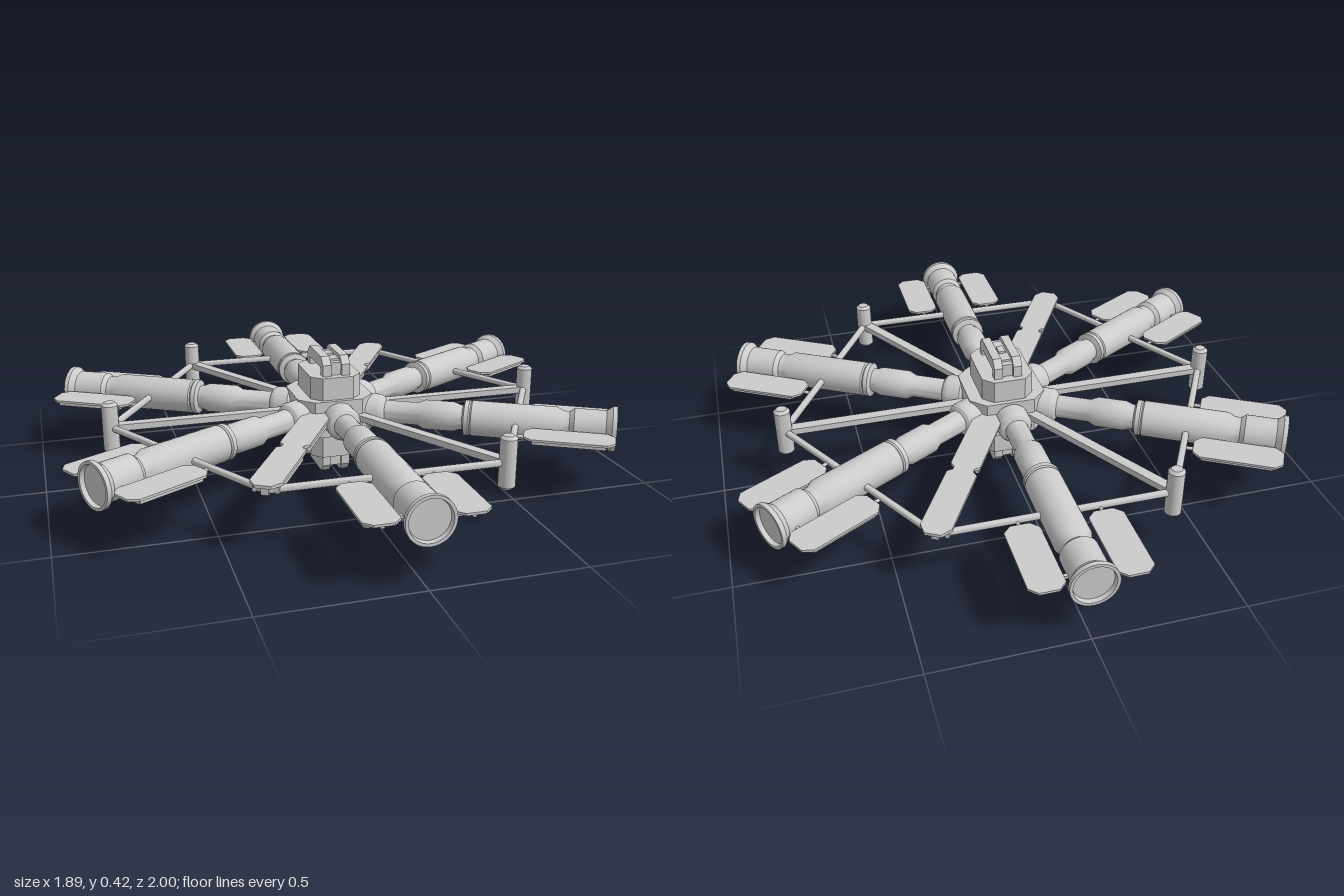
import * as THREE from 'three';
import { toCreasedNormals } from 'three/addons/utils/BufferGeometryUtils.js';

const MID = 0.216; // height of the station's plane
const V = (x, y) => new THREE.Vector2(x, y);

export function createModel() {
  const root = new THREE.Group();
  root.name = 'station';
  const mat = new THREE.MeshStandardMaterial({ color: 0xcccccc, side: THREE.DoubleSide });

  const add = (parent, name, geo, x = 0, y = 0, z = 0) => {
    const m = new THREE.Mesh(geo, mat);
    m.name = name;
    m.position.set(x, y, z);
    parent.add(m);
    return m;
  };
  const box = (parent, name, w, h, d, x, y, z) => add(parent, name, new THREE.BoxGeometry(w, h, d), x, y, z);
  const spun = (pts, seg) => toCreasedNormals(new THREE.LatheGeometry(pts.map(p => V(...p)), seg), 0.5);
  const group = (name, angle) => {
    const g = new THREE.Group();
    g.name = name;
    g.position.y = MID;
    g.rotation.y = angle;
    root.add(g);
    return g;
  };
  // Rectangle with cut corners, half sizes a and b
  const cutRect = (a, b, c) => new THREE.Shape([
    V(-a + c, -b), V(a - c, -b), V(a, -b + c), V(a, b - c),
    V(a - c, b), V(-a + c, b), V(-a, b - c), V(-a, -b + c)]);
  // Extrude a plan-view shape to a flat slab from y = 0 up to h
  const slab = (shape, h) =>
    new THREE.ExtrudeGeometry(shape, { depth: h, bevelEnabled: false }).rotateX(-Math.PI / 2);
  // Straight round bar along z
  const barZ = (r, len) => toCreasedNormals(new THREE.CylinderGeometry(r, r, len, 12).rotateX(Math.PI / 2), 0.8);

  // Radial modules with a dished end cap
  const armGeo = spun([
    [0, 0.08], [0.052, 0.08], [0.052, 0.13], [0.06, 0.14], [0.06, 0.19], [0.053, 0.203], [0.04, 0.21],
    [0.04, 0.325], [0.052, 0.35], [0.052, 0.45], [0.043, 0.475], [0.043, 0.483], [0.062, 0.49],
    [0.062, 0.505], [0.058, 0.51], [0.062, 0.515], [0.062, 0.8], [0.05, 0.825], [0.05, 0.845],
    [0.062, 0.86], [0.062, 0.965], [0.077, 0.985], [0.077, 1.0], [0.067, 1.0], [0.064, 0.985], [0, 0.985],
  ], 32).rotateX(Math.PI / 2);

  // Rounded solar panel outline
  const panelShape = cutRect(0.057, 0.148, 0.026);
  for (let i = 0; i < 6; i++) {
    const arm = group('arm', i * Math.PI / 3);
    add(arm, 'module', armGeo);
    for (const s of [-1, 1]) {
      const panel = new THREE.Group();
      panel.name = 'solarPanel';
      panel.position.set(s * 0.134, 0, 0.848);
      arm.add(panel);
      add(panel, 'panelSheet', slab(panelShape, 0.008));
      // Frame under the sheet
      for (const e of [-1, 1]) {
        box(panel, 'sideRail', 0.008, 0.012, 0.23, e * 0.045, -0.006, 0);
        box(panel, 'endRail', 0.09, 0.012, 0.008, 0, -0.006, e * 0.115);
      }
      box(panel, 'centreRail', 0.012, 0.012, 0.27, 0, -0.006, 0);
      box(panel, 'bracket', 0.05, 0.01, 0.012, -s * 0.06, -0.004, 0.09);
      add(panel, 'hingeBar', barZ(0.006, 0.05), 0, -0.004, -0.163);
    }
  }

  // Outer ring
  for (let i = 0; i < 6; i++) {
    const side = group('ringStrut', i * Math.PI / 3);
    add(side, 'strut', barZ(0.012, 0.77).rotateY(Math.PI / 2), 0, 0, 0.667);
  }

  // Spokes ending in upright pods
  const podGeo = spun([[0, -0.088], [0.018, -0.088], [0.028, -0.078], [0.028, 0.08], [0.018, 0.09], [0, 0.09]], 20);
  for (const deg of [30, 90, 210, 270]) {
    const spoke = group('spoke', deg * Math.PI / 180);
    box(spoke, 'beam', 0.036, 0.022, 0.66, 0, 0, 0.43);
    add(spoke, 'pod', podGeo, 0, 0, 0.77);
  }

  // Two long radial wings, each with a notch at mid length
  const wingShape = new THREE.Shape();
  const edge = [[0.035, 0.14], [0.05, 0.16], [0.05, 0.45], [0.034, 0.465], [0.034, 0.48], [0.05, 0.495], [0.05, 0.765], [0.026, 0.8]];
  wingShape.setFromPoints([
    ...edge.map(([x, z]) => V(x, -z)),
    ...edge.slice().reverse().map(([x, z]) => V(-x, -z))]);
  for (const deg of [150, 330]) {
    const wing = group('wing', deg * Math.PI / 180);
    add(wing, 'wingSheet', slab(wingShape, 0.01), 0, 0.016, 0);
    for (const s of [-1, 1]) {
      box(wing, 'wingRail', 0.012, 0.026, 0.27, s * 0.035, 0.004, 0.305);
      box(wing, 'wingRail', 0.012, 0.026, 0.27, s * 0.035, 0.004, 0.635);
    }
    box(wing, 'wingBeam', 0.024, 0.03, 0.7, 0, 0.002, 0.43);
    for (const z of [0.3, 0.63, 0.765]) box(wing, 'crossRail', 0.07, 0.018, 0.012, 0, 0.007, z);
  }

  // Central hub: wide core and a taller tower
  const hub = group('hub', 0);
  add(hub, 'core', slab(cutRect(0.135, 0.135, 0.05), 0.13), 0, -0.065, 0);
  add(hub, 'tower', slab(cutRect(0.09, 0.12, 0.035), 0.29), 0, -0.145, 0);

  // Docking frame, the same above and below
  const arch = new THREE.Shape([
    V(-0.1, 0.12), V(-0.072, 0.12), V(-0.072, 0.165), V(-0.06, 0.172), V(0.06, 0.172), V(0.072, 0.165),
    V(0.072, 0.12), V(0.1, 0.12), V(0.1, 0.185), V(0.075, 0.212), V(-0.075, 0.212), V(-0.1, 0.185)]);
  const archGeo = new THREE.ExtrudeGeometry(arch, { depth: 0.03, bevelEnabled: false })
    .translate(0, 0, -0.015).rotateY(Math.PI / 2);
  for (const flip of [0, Math.PI]) {
    const dock = new THREE.Group();
    dock.name = 'dock';
    dock.rotation.z = flip;
    hub.add(dock);
    for (const s of [-1, 1]) {
      add(dock, 'dockArch', archGeo, s * 0.034, 0, 0);
      box(dock, 'dockEnd', 0.04, 0.07, 0.025, 0, 0.155, s * 0.075);
    }
    box(dock, 'dockBridge', 0.04, 0.025, 0.13, 0, 0.185, 0);
    box(dock, 'dockPost', 0.024, 0.08, 0.04, 0, 0.165, 0);
  }
  return root;
}
